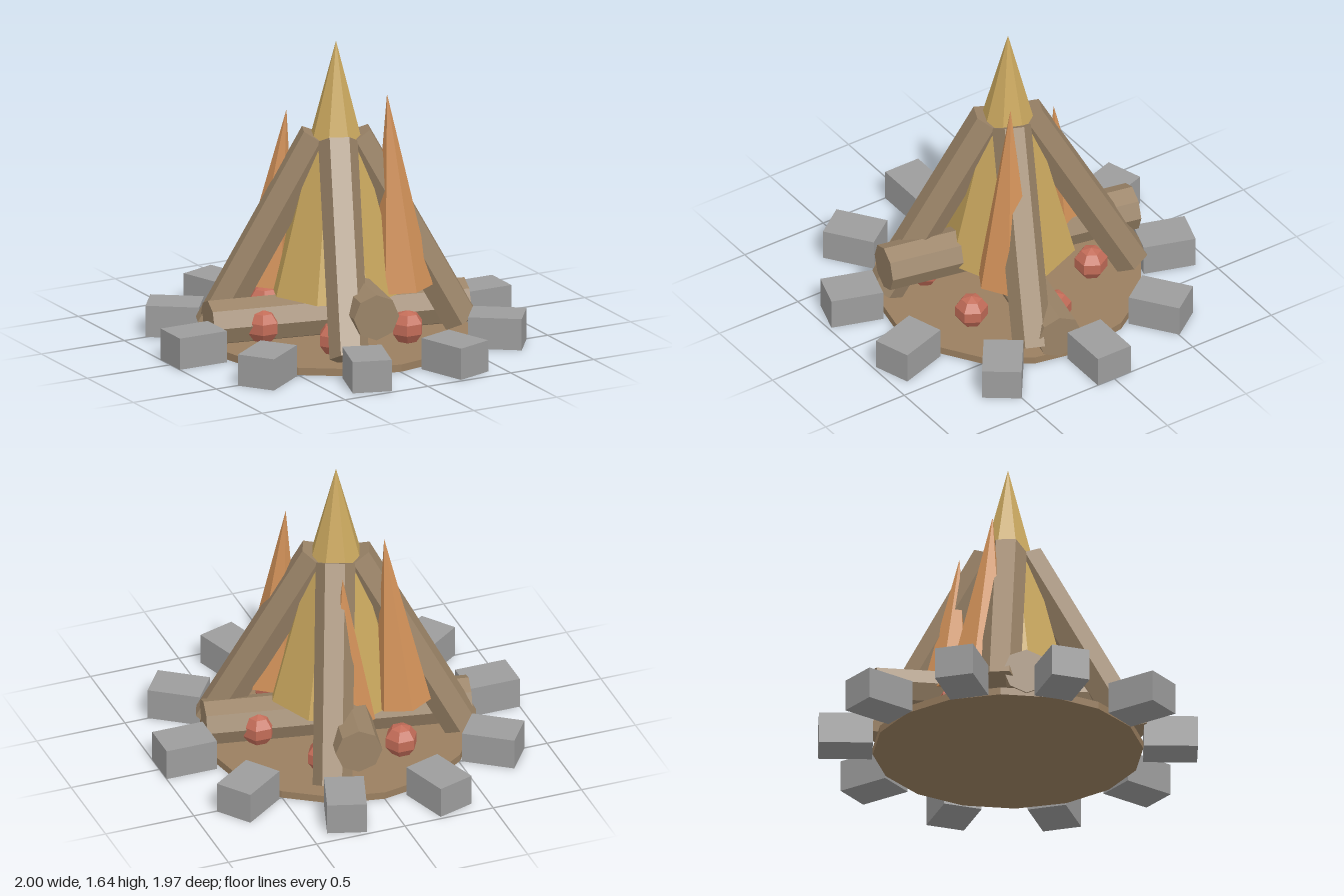
import * as THREE from 'three';

const material = (name, color) => {
  const m = new THREE.MeshStandardMaterial({ color, flatShading: true });
  m.name = name;
  return m;
};

export function createModel() {
  const wood = material('wood', 0x9a8367);
  const earth = material('earth', 0x9a7f60);
  const stone = material('stone grey', 0x9c9c9c);
  const yellow = material('flame yellow', 0xc9a75e);
  const orange = material('flame orange', 0xd09058);
  const red = material('ember red', 0xc26c58);

  const model = new THREE.Group();
  model.name = 'campfire';
  const add = (name, geometry, mat, parent = model) => {
    const mesh = new THREE.Mesh(geometry, mat);
    mesh.name = name;
    parent.add(mesh);
    return mesh;
  };
  // Pivot turned about the vertical axis, so parts can be placed along its x
  const spoke = (name, angle) => {
    const pivot = new THREE.Group();
    pivot.name = name;
    pivot.rotation.y = angle;
    model.add(pivot);
    return pivot;
  };

  // Fire bed
  add('fireBed', new THREE.CylinderGeometry(0.715, 0.715, 0.04, 16), earth).position.y = 0.025;

  // Ring of stones
  const stoneShape = new THREE.BoxGeometry(0.285, 0.172, 0.21);
  for (let i = 0; i < 10; i++) {
    const s = add('stone', stoneShape, stone, spoke('stoneSpoke', (i * Math.PI) / 5));
    s.position.set(0.8575, 0.086, 0);
  }

  // Two crossed lying logs
  const logShape = new THREE.CylinderGeometry(0.125, 0.125, 1.42, 8).rotateZ(Math.PI / 2);
  [0.145, 0.318].forEach((y, i) => {
    const log = add('lyingLog', logShape, wood);
    log.position.y = y;
    log.rotation.y = -0.2 + (i * Math.PI) / 2;
  });

  // Four leaning logs meeting near the top
  const poleShape = new THREE.CylinderGeometry(0.105, 0.105, 1.175, 6);
  for (let i = 0; i < 4; i++) {
    const pole = add('leaningLog', poleShape, wood, spoke('poleSpoke', -0.4 + (i * Math.PI) / 2));
    pole.position.set(0.377, 0.6, 0);
    pole.rotation.z = 0.5;
  }

  // Central flame
  add('centralFlame', new THREE.ConeGeometry(0.36, 1.36, 8), yellow).position.y = 0.96;

  // Side flames: base centre, tip, radius
  const up = new THREE.Vector3(0, 1, 0);
  [
    [[0.285, 0.295, 0.2], [0.23, 1.35, 0.14], 0.165],
    [[-0.275, 0.295, -0.255], [-0.21, 1.25, -0.16], 0.155],
    [[0.05, 0.295, -0.33], [0.06, 1.11, -0.25], 0.135],
  ].forEach(([base, tip, radius]) => {
    const a = new THREE.Vector3(...base);
    const b = new THREE.Vector3(...tip);
    const flame = add('sideFlame', new THREE.ConeGeometry(radius, a.distanceTo(b), 6), orange);
    flame.position.copy(a).lerp(b, 0.5);
    flame.quaternion.setFromUnitVectors(up, b.sub(a).normalize());
  });

  // Embers
  const emberShape = new THREE.SphereGeometry(0.092, 6, 5);
  for (let i = 0; i < 6; i++) {
    const t = (i * Math.PI) / 3;
    add('ember', emberShape, red).position.set(0.44 * Math.cos(t), 0.13, 0.44 * Math.sin(t));
  }

  return model;
}
